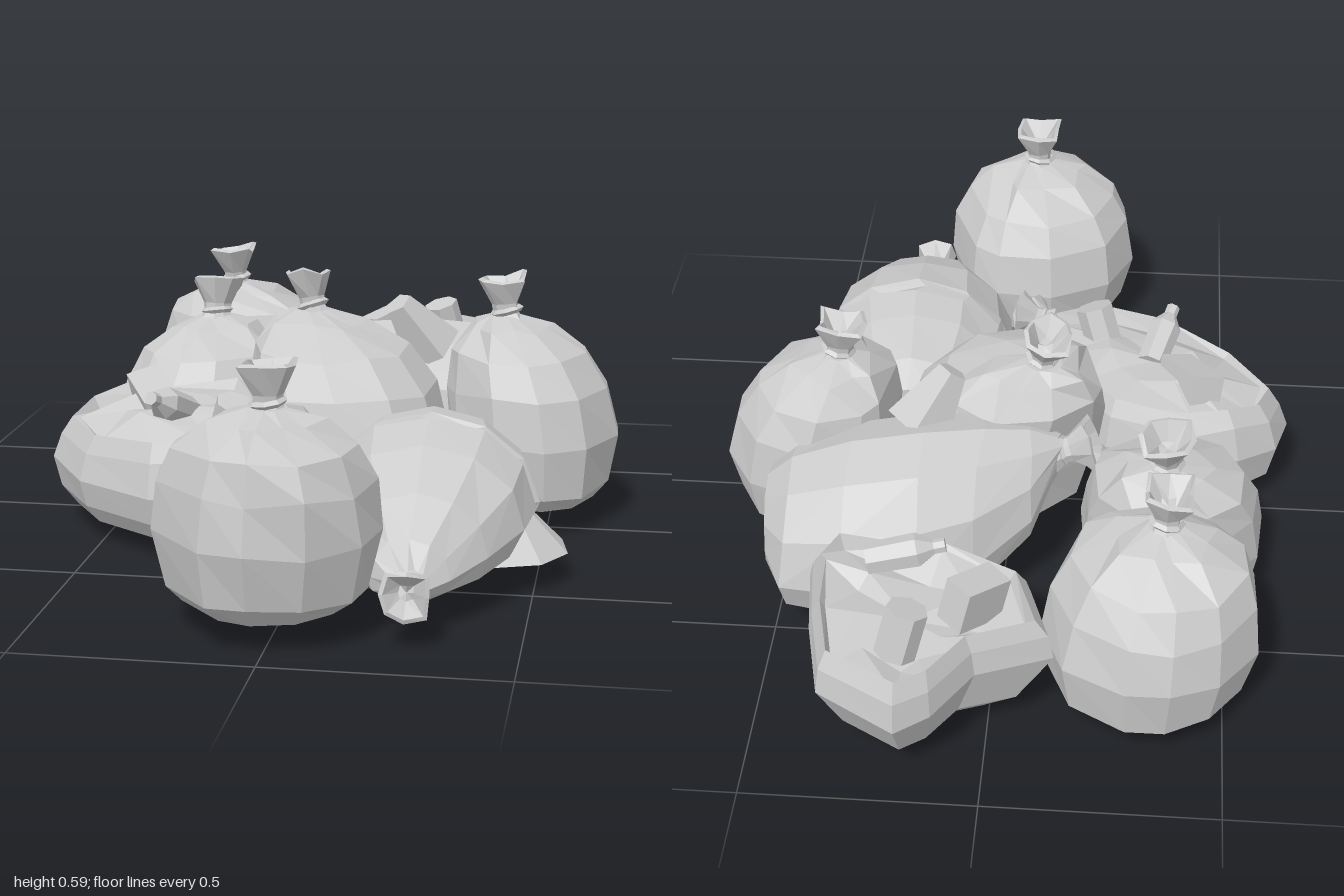
import * as THREE from 'three';

const material = new THREE.MeshStandardMaterial({ color: 0xcccccc, flatShading: true, side: THREE.DoubleSide });

// Repeatable noise in -1..1
const noise = (n) => { const s = Math.sin(n * 127.1 + 11.7) * 43758.5453; return 2 * (s - Math.floor(s)) - 1; };

function mesh(name, geometry) {
  const m = new THREE.Mesh(geometry, material);
  m.name = name;
  return m;
}

// Skin a list of rings (each a list of Vector3), closing both ends
function loft(rings) {
  const n = rings[0].length;
  const cap = (r) => {
    const c = r.reduce((s, p) => s.add(p), new THREE.Vector3()).divideScalar(n);
    return r.map(() => c);
  };
  const all = [cap(rings[0]), ...rings, cap(rings[rings.length - 1])];
  const pos = [];
  for (let k = 0; k < all.length - 1; k++) {
    for (let i = 0; i < n; i++) {
      const j = (i + 1) % n;
      const a = all[k][i], b = all[k][j], c = all[k + 1][j], d = all[k + 1][i];
      if (k < all.length - 2) for (const p of [a, d, c]) pos.push(p.x, p.y, p.z);
      if (k > 0) for (const p of [a, c, b]) pos.push(p.x, p.y, p.z);
    }
  }
  const g = new THREE.BufferGeometry();
  g.setAttribute('position', new THREE.Float32BufferAttribute(pos, 3));
  g.computeVertexNormals();
  return g;
}

// Tied neck: collar and flared, crumpled end pointing along dir
function knot(x, y, z, dir, size, seed) {
  const g = new THREE.Group();
  g.name = 'tiedNeck';
  const profile = [[0.05, -0.02], [0.032, 0.01], [0.034, 0.035], [0.066, 0.095], [0.055, 0.1], [0.02, 0.055]];
  const rings = profile.map(([r, h], k) => Array.from({ length: 8 }, (_, i) => {
    const a = (i / 8) * Math.PI * 2;
    const f = r * (1 + 0.16 * noise(i + seed) + (k > 2 ? 0.1 * (i % 2 ? 1 : -1) : 0));
    return new THREE.Vector3(f * Math.cos(a), h + (k > 2 ? 0.014 * noise(i * 3 + seed) : 0), f * Math.sin(a));
  }));
  const collar = mesh('tie', new THREE.TorusGeometry(0.036, 0.009, 4, 8).rotateX(Math.PI / 2));
  collar.position.y = 0.015;
  collar.rotation.z = 0.15;
  g.add(mesh('flaredEnd', loft(rings)), collar);
  g.position.set(x, y, z);
  g.quaternion.setFromUnitVectors(new THREE.Vector3(0, 1, 0), new THREE.Vector3(...dir).normalize());
  g.scale.setScalar(size);
  return g;
}

// Upright bag whose top leans from its centre towards the knot
function uprightBag(name, { c, r, y, k, seed }) {
  const g = new THREE.Group();
  g.name = name;
  const profile = [[0.72, 0], [0.9, 0.09], [1, 0.38], [0.94, 0.64], [0.8, 0.83], [0.46, 0.96], [0.17, 1.02]];
  const rings = profile.map(([s, t], level) => Array.from({ length: 11 }, (_, i) => {
    const a = ((i + 0.3 * noise(seed + i)) / 11) * Math.PI * 2 + seed;
    const f = s * (1 + 0.03 * noise(seed * 7 + i + level * 0.4) + (level === 5 ? 0.12 * (i % 2 ? 1 : -1) : 0));
    const lean = t ** 3;
    return new THREE.Vector3(
      c[0] + (k[0] - c[0]) * lean + r[0] * f * Math.cos(a),
      y[0] + (y[1] - y[0]) * (t + (level > 0 && level < 6 ? 0.02 * noise(i * 5 + level + seed) : 0)),
      c[1] + (k[1] - c[1]) * lean + r[1] * f * Math.sin(a));
  }));
  const dir = [(k[0] - c[0]) * 0.8, 0.5, (k[1] - c[1]) * 0.8];
  g.add(mesh('sack', loft(rings)), knot(k[0], y[1] + 0.005, k[1], dir, 0.9, seed));
  return g;
}

// Bag lying on its side; stations are [z, xMin, xMax, yBottom, yTop], neck last
function lyingBag(name, stations, seed, neckDir) {
  const g = new THREE.Group();
  g.name = name;
  const rings = stations.map(([z, x0, x1, y0, y1], s) => Array.from({ length: 12 }, (_, i) => {
    const a = -(i / 12) * Math.PI * 2;
    const up = Math.sin(a);
    // underside is squashed flat, widest part sits low
    const yy = up > 0 ? 0.35 + 0.65 * up : 0.35 * (1 + Math.max(-1, up * 1.3));
    const w = 1 + (s > 0 && s < stations.length - 2 ? 0.025 * noise(i + s * 2 + seed) : 0);
    return new THREE.Vector3((x0 + x1) / 2 + ((x1 - x0) / 2) * w * Math.cos(a), y0 + (y1 - y0) * yy, z + 0.008 * noise(i * 2 + s + seed));
  }));
  const [z, x0, x1, y0, y1] = stations[stations.length - 1];
  g.add(mesh('sack', loft(rings)), knot((x0 + x1) / 2, (y0 + y1) / 2, z, neckDir, 0.8, seed));
  return g;
}

// Torn-open bag: an outline scaled through levels, with rubbish heaped inside the rim
function openBag(name, outline, levels, slope, seed) {
  const g = new THREE.Group();
  g.name = name;
  const n = outline.length;
  const cx = outline.reduce((s, p) => s + p[0], 0) / n, cz = outline.reduce((s, p) => s + p[1], 0) / n;
  const rings = levels.map(([s, y], level) => outline.map(([x, z], i) => {
    const dx = (x - cx) * s, dz = (z - cz) * s;
    const ragged = level > 2 ? 0.018 * noise(i + seed + (level > 4 ? level : 0)) : 0;
    return new THREE.Vector3(cx + dx, y + (level > 1 ? slope[0] * dx + slope[1] * dz : 0) + ragged, cz + dz);
  }));
  g.add(mesh('tornSack', loft(rings)));
  return g;
}

function junk(name, geometry, p, r) {
  const m = mesh(name, geometry);
  m.position.set(...p);
  m.rotation.set(...r);
  return m;
}
const can = () => new THREE.CylinderGeometry(0.045, 0.045, 0.11, 7);
const carton = (w, h, d) => new THREE.BoxGeometry(w, h, d);
const bottle = () => new THREE.LatheGeometry([[0, -0.08], [0.035, -0.08], [0.038, 0.03], [0.016, 0.065], [0.016, 0.09], [0, 0.09]]
  .map(([x, y]) => new THREE.Vector2(x, y)), 7);

export function createModel() {
  const model = new THREE.Group();
  model.name = 'garbageBagPile';

  // Upright tied bags
  const bags = {
    frontBag: { c: [-0.02, 0.765], r: [0.235, 0.235], y: [0.06, 0.46], k: [-0.01, 0.8], seed: 1 },
    middleBag: { c: [0.04, 0.005], r: [0.24, 0.235], y: [0.06, 0.475], k: [-0.07, -0.1], seed: 2 },
    leftBag: { c: [0.46, -0.08], r: [0.2, 0.222], y: [0.06, 0.475], k: [0.39, -0.1], seed: 3 },
    rightBag: { c: [-0.38, -0.25], r: [0.212, 0.21], y: [0, 0.4], k: [-0.36, -0.36], seed: 4 },
    backRightBag: { c: [-0.335, -0.66], r: [0.235, 0.212], y: [0.05, 0.44], k: [-0.36, -0.61], seed: 5 },
  };
  for (const [name, b] of Object.entries(bags)) model.add(uprightBag(name, b));

  // Slumped bag at the front left, with a crease pinched into its outer side
  const slumped = lyingBag('slumpedFrontBag', [
    [0.07, 0.14, 0.38, 0.07, 0.25], [0.13, 0.08, 0.43, 0.06, 0.31], [0.25, 0.04, 0.48, 0.06, 0.345],
    [0.35, 0.03, 0.5, 0.06, 0.355], [0.37, 0.03, 0.46, 0.06, 0.35], [0.39, 0.03, 0.5, 0.06, 0.355],
    [0.52, 0.05, 0.48, 0.06, 0.325], [0.65, 0.12, 0.42, 0.06, 0.26], [0.74, 0.18, 0.35, 0.065, 0.19], [0.79, 0.24, 0.3, 0.08, 0.13],
  ], 6, [0.05, 0.1, 1]);
  // plastic spread on the ground beside it
  const skirt = mesh('spreadPlastic', new THREE.CylinderGeometry(0.05, 0.15, 0.1, 9));
  skirt.position.set(0.42, 0.115, 0.37);
  slumped.add(skirt);
  model.add(slumped);

  // Large bag lying across the back, neck towards the right
  const across = lyingBag('slumpedBackBag', [
    [-0.52, -0.45, -0.2, 0.12, 0.3], [-0.47, -0.54, -0.13, 0.05, 0.36], [-0.33, -0.565, -0.1, 0.03, 0.41],
    [-0.18, -0.54, -0.08, 0.03, 0.425], [-0.05, -0.48, -0.08, 0.06, 0.42], [0.06, -0.38, -0.12, 0.16, 0.4], [0.12, -0.28, -0.19, 0.29, 0.37],
  ], 7, [0.1, 0.35, 1]);
  across.rotation.y = -Math.PI / 2;
  model.add(across);

  // Loose fold of plastic between the middle and back bags
  const fold = mesh('looseFold', new THREE.CylinderGeometry(0.035, 0.08, 0.15, 5));
  fold.position.set(0.16, 0.43, -0.19);
  fold.rotation.set(0.1, 0.5, 0.6);
  model.add(fold);

  // Torn bag at the front right, slumped low with rubbish heaped above its rim
  const tornFront = openBag('tornFrontBag', [
    [-0.53, -0.06], [-0.43, -0.08], [-0.22, -0.06], [-0.11, 0.08], [-0.05, 0.25], [-0.03, 0.39], [-0.15, 0.46],
    [-0.35, 0.43], [-0.54, 0.3], [-0.65, 0.13], [-0.62, 0.01],
  ], [[0.82, 0.05], [0.94, 0.09], [1, 0.18], [0.93, 0.245], [0.84, 0.285], [0.78, 0.265], [0.4, 0.3]], [0.08, -0.1], 8);
  tornFront.add(
    knot(-0.05, 0.25, 0.39, [1, 0.3, 0.1], 0.75, 9),
    knot(-0.06, 0.21, 0.43, [0.7, 0.1, 0.6], 0.7, 10),
    junk('carton', carton(0.08, 0.1, 0.16), [-0.41, 0.29, 0.09], [0.25, 0.5, 0.15]),
    junk('bottle', bottle(), [-0.34, 0.32, 0.24], [1.1, 0.2, 0.3]),
    junk('can', can(), [-0.19, 0.3, 0.3], [0.3, 0, -0.3]));
  model.add(tornFront);

  // Torn bag at the back, flaring to a pointed rim, with rubbish inside
  const tornBack = openBag('tornBackBag', [
    [-0.14, -0.77], [0.02, -0.83], [0.1, -0.95], [0.17, -1], [0.34, -0.9], [0.38, -0.72],
    [0.4, -0.56], [0.36, -0.5], [0.1, -0.51], [-0.08, -0.58],
  ], [[0.5, 0.04], [0.74, 0.08], [1, 0.21], [0.96, 0.26], [0.87, 0.3], [0.82, 0.275], [0.5, 0.26]], [0, 0.05], 11);
  tornBack.add(
    junk('can', can(), [0.17, 0.31, -0.82], [0.2, 0, 0.25]),
    junk('carton', carton(0.07, 0.1, 0.12), [0.03, 0.31, -0.71], [0.3, -0.7, 0.3]),
    junk('bottle', bottle(), [0.19, 0.32, -0.59], [0, 0.15, 1.4]));
  model.add(tornBack);

  return model;
}
